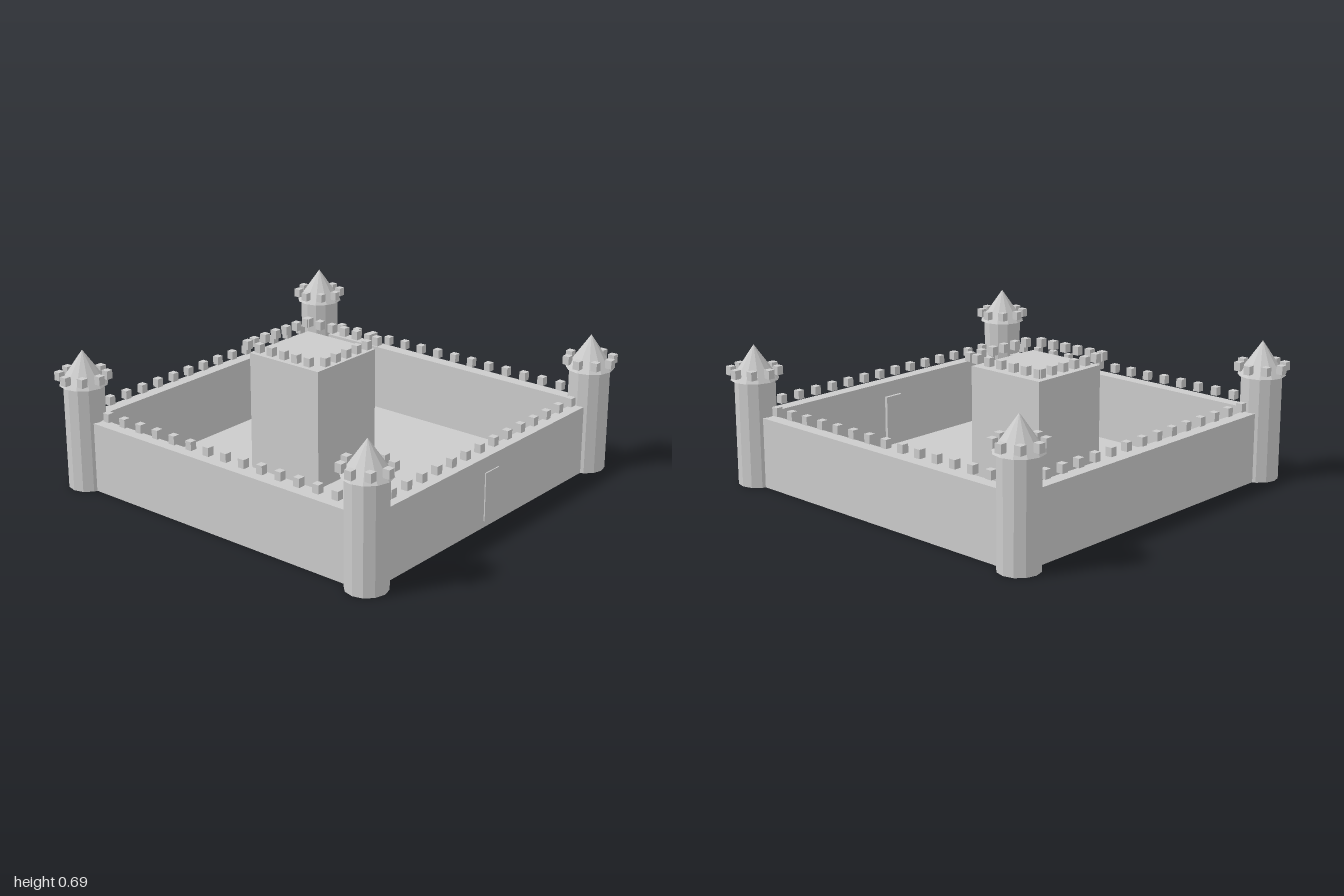
import * as THREE from 'three';

const material = new THREE.MeshStandardMaterial({ color: 0xcccccc, flatShading: true });
const merlonGeometry = new THREE.BoxGeometry(0.035, 0.043, 0.035);

function add(parent, name, geometry, x, y, z) {
  const mesh = new THREE.Mesh(geometry, material);
  mesh.name = name;
  mesh.position.set(x, y, z);
  parent.add(mesh);
  return mesh;
}

const box = (w, h, d) => new THREE.BoxGeometry(w, h, d);

export function createModel() {
  const castle = new THREE.Group();
  castle.name = 'castle';
  const c = 0.87; // distance of wall lines and tower centres from the middle

  // Courtyard and door
  add(castle, 'courtyard', box(1.8, 0.006, 1.8), 0, 0.003, 0);
  add(castle, 'door', box(0.104, 0.241, 0.088), 0, 0.153, 0.865);

  // Four curtain walls with their merlons hovering above
  const wallNames = ['frontWall', 'leftWall', 'backWall', 'rightWall'];
  wallNames.forEach((name, k) => {
    const wall = new THREE.Group();
    wall.name = name;
    wall.rotation.y = k * Math.PI / 2;
    add(wall, 'wallBody', box(k % 2 ? 1.674 : 1.806, 0.35, 0.066), 0, 0.175, c);
    for (let i = 0; i < 14; i++) {
      add(wall, 'wallMerlon', merlonGeometry, (i - 6.5) * 0.1088, 0.392, c);
    }
    castle.add(wall);
  });

  // Corner towers: twelve-sided shaft, cone roof, ring of eight merlons
  const shaft = new THREE.CylinderGeometry(0.1, 0.1, 0.525, 12);
  const roof = new THREE.ConeGeometry(0.118, 0.17, 12);
  for (const sx of [-1, 1]) for (const sz of [-1, 1]) {
    const tower = new THREE.Group();
    tower.name = (sz > 0 ? 'front' : 'back') + (sx > 0 ? 'Left' : 'Right') + 'Tower';
    tower.position.set(sx * c, 0, sz * c);
    add(tower, 'towerShaft', shaft, 0, 0.2625, 0);
    add(tower, 'towerRoof', roof, 0, 0.61, 0);
    for (let i = 0; i < 8; i++) {
      const a = i * Math.PI / 4;
      add(tower, 'towerMerlon', merlonGeometry, Math.cos(a) * 0.1125, 0.567, Math.sin(a) * 0.1125);
    }
    castle.add(tower);
  }

  // Keep, set toward the back, with six merlons on each side
  const keep = new THREE.Group();
  keep.name = 'keep';
  keep.position.z = -0.173;
  add(keep, 'keepBody', box(0.434, 0.61, 0.434), 0, 0.305, 0);
  for (let i = 0; i < 6; i++) {
    for (const s of [-1, 1]) {
      add(keep, 'keepMerlon', merlonGeometry, -0.174 + i * 0.0783, 0.655, s * 0.226);
      add(keep, 'keepMerlon', merlonGeometry, s * 0.226, 0.655, -0.222 + i * 0.0783);
    }
  }
  castle.add(keep);

  return castle;
}
